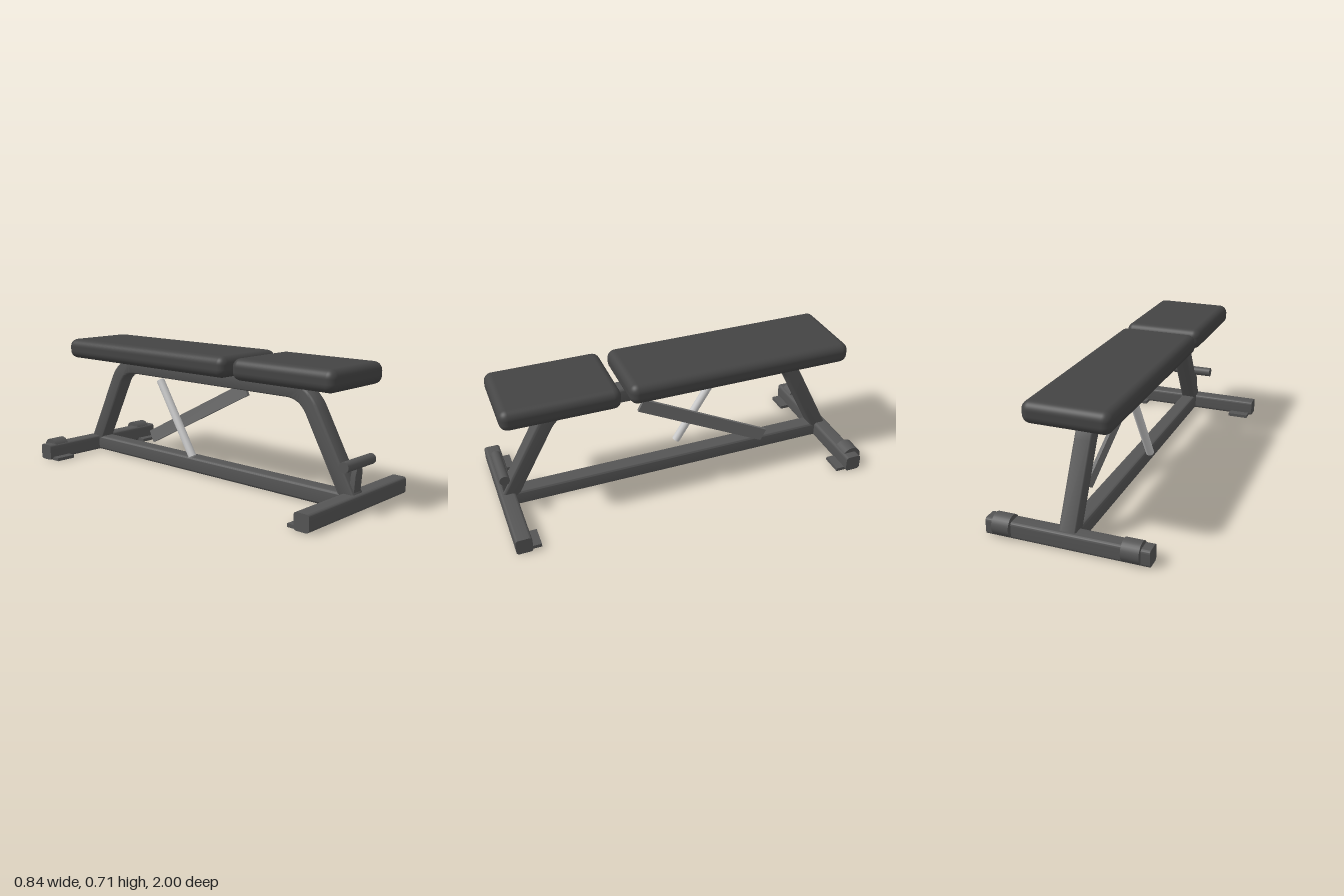
import * as THREE from 'three';
import { toCreasedNormals } from 'three/addons/utils/BufferGeometryUtils.js';
import { RoundedBoxGeometry } from 'three/addons/geometries/RoundedBoxGeometry.js';

const mat = (color) => new THREE.MeshStandardMaterial({ color });

export function createModel() {
  const group = new THREE.Group();
  const frameMat = mat(0x555555), padMat = mat(0x444444), plateMat = mat(0x707070), rodMat = mat(0xcccccc);

  const add = (name, geometry, material, x = 0, y = 0, z = 0) => {
    const mesh = new THREE.Mesh(geometry, material);
    mesh.name = name;
    mesh.position.set(x, y, z);
    group.add(mesh);
    return mesh;
  };

  // Square tube with rounded long edges, centred, running along z
  const tube = (w, h, length, r = 0.016) => {
    const a = w / 2, b = h / 2, s = new THREE.Shape();
    s.absarc(a - r, b - r, r, 0, Math.PI / 2);
    s.absarc(-a + r, b - r, r, Math.PI / 2, Math.PI);
    s.absarc(-a + r, -b + r, r, Math.PI, Math.PI * 1.5);
    s.absarc(a - r, -b + r, r, Math.PI * 1.5, Math.PI * 2);
    const g = new THREE.ExtrudeGeometry(s, { depth: length, bevelEnabled: false, curveSegments: 5 });
    return toCreasedNormals(g.translate(0, 0, -length / 2), 0.6);
  };

  // Cushions
  add('seatPad', new RoundedBoxGeometry(0.446, 0.112, 0.618, 6, 0.044), padMat, 0, 0.651, 0.661);
  add('backPad', new RoundedBoxGeometry(0.446, 0.112, 1.25, 6, 0.044), padMat, 0, 0.651, -0.318);

  // Floor rail and the two cross bars
  add('floorRail', tube(0.09, 0.086, 1.86), frameMat, 0, 0.047, 0.015);
  add('frontCrossBar', tube(0.086, 0.088, 0.84), frameMat, 0, 0.046, 0.957).rotation.y = Math.PI / 2;
  add('rearCrossBar', tube(0.086, 0.088, 0.84), frameMat, 0, 0.046, -0.931).rotation.y = Math.PI / 2;

  // Bent upper frame: side outline offset from a filleted centre line, extruded across x
  const corners = [[0.955, 0.05], [0.675, 0.557], [-0.668, 0.557], [-0.925, 0.05]]
    .map(([z, y]) => new THREE.Vector2(z, y));
  const centre = new THREE.CurvePath();
  const path = [corners[0]];
  for (const i of [1, 2]) {
    const p = corners[i];
    const toward = (q) => p.clone().add(q.clone().sub(p).setLength(0.11));
    path.push(...new THREE.QuadraticBezierCurve(toward(corners[i - 1]), p, toward(corners[i + 1])).getPoints(12));
  }
  path.push(corners[3]);
  const half = 0.043;
  const offset = (side) => path.map((p, i) => {
    const t = path[Math.min(i + 1, path.length - 1)].clone().sub(path[Math.max(i - 1, 0)]);
    // straight legs keep their own direction at the bend ends
    if (i === 1) t.copy(p).sub(path[0]);
    if (i === path.length - 2) t.copy(path[i + 1]).sub(p);
    if (i === 13 || i === 14) t.set(-1, 0);
    t.normalize();
    return new THREE.Vector2(p.x - t.y * half * side, p.y + t.x * half * side);
  });
  const outline = new THREE.Shape([...offset(1), ...offset(-1).reverse()]);
  const bevel = 0.014;
  const frame = new THREE.ExtrudeGeometry(outline, {
    depth: 0.09 - 2 * bevel, bevelSize: bevel, bevelThickness: bevel, bevelOffset: -bevel, bevelSegments: 4,
  });
  frame.translate(0, 0, -0.045 + bevel).rotateY(-Math.PI / 2);
  add('upperFrame', toCreasedNormals(frame, 0.6), frameMat);

  // Foot handle on a tapered post
  const postShape = new THREE.Shape([[-0.03, 0], [0.03, 0], [0.03, 0.1], [0.018, 0.155], [-0.018, 0.155], [-0.03, 0.1]]
    .map(([x, y]) => new THREE.Vector2(x, y)));
  const post = new THREE.ExtrudeGeometry(postShape, {
    depth: 0.02, bevelSize: 0.005, bevelThickness: 0.005, bevelOffset: -0.005, bevelSegments: 2,
  });
  add('handlePost', toCreasedNormals(post.translate(0, 0, -0.01), 0.6), frameMat, 0, 0.085, 0.961).rotation.x = 0.08;
  const handle = new THREE.CylinderGeometry(0.027, 0.027, 0.24, 32).rotateZ(Math.PI / 2);
  add('footHandle', handle, frameMat, 0, 0.241, 0.973);

  // Wheels and feet, mirrored
  for (const side of [1, -1]) {
    const wheel = new THREE.CylinderGeometry(0.056, 0.056, 0.09, 32).rotateZ(Math.PI / 2);
    add('wheel', wheel, frameMat, side * 0.33, 0.06, -0.944);
    add('frontFoot', new THREE.BoxGeometry(0.118, 0.018, 0.09), frameMat, side * 0.343, 0.009, 0.911);
    add('rearFoot', new THREE.BoxGeometry(0.118, 0.018, 0.09), frameMat, side * 0.343, 0.009, -0.886);
  }

  // Slanted adjustment plate and support rod
  const plate = add('adjustmentPlate', new THREE.BoxGeometry(0.018, 0.073, 0.83), plateMat, 0.074, 0.311, -0.157);
  plate.rotation.x = -Math.atan2(0.377, 0.74);
  const low = new THREE.Vector3(-0.077, 0.108, -0.045), high = new THREE.Vector3(-0.077, 0.51, -0.295);
  const rod = add('supportRod', new THREE.CylinderGeometry(0.0225, 0.0225, low.distanceTo(high), 32), rodMat);
  rod.position.copy(low).add(high).multiplyScalar(0.5);
  rod.quaternion.setFromUnitVectors(new THREE.Vector3(0, 1, 0), high.sub(low).normalize());

  return group;
}
